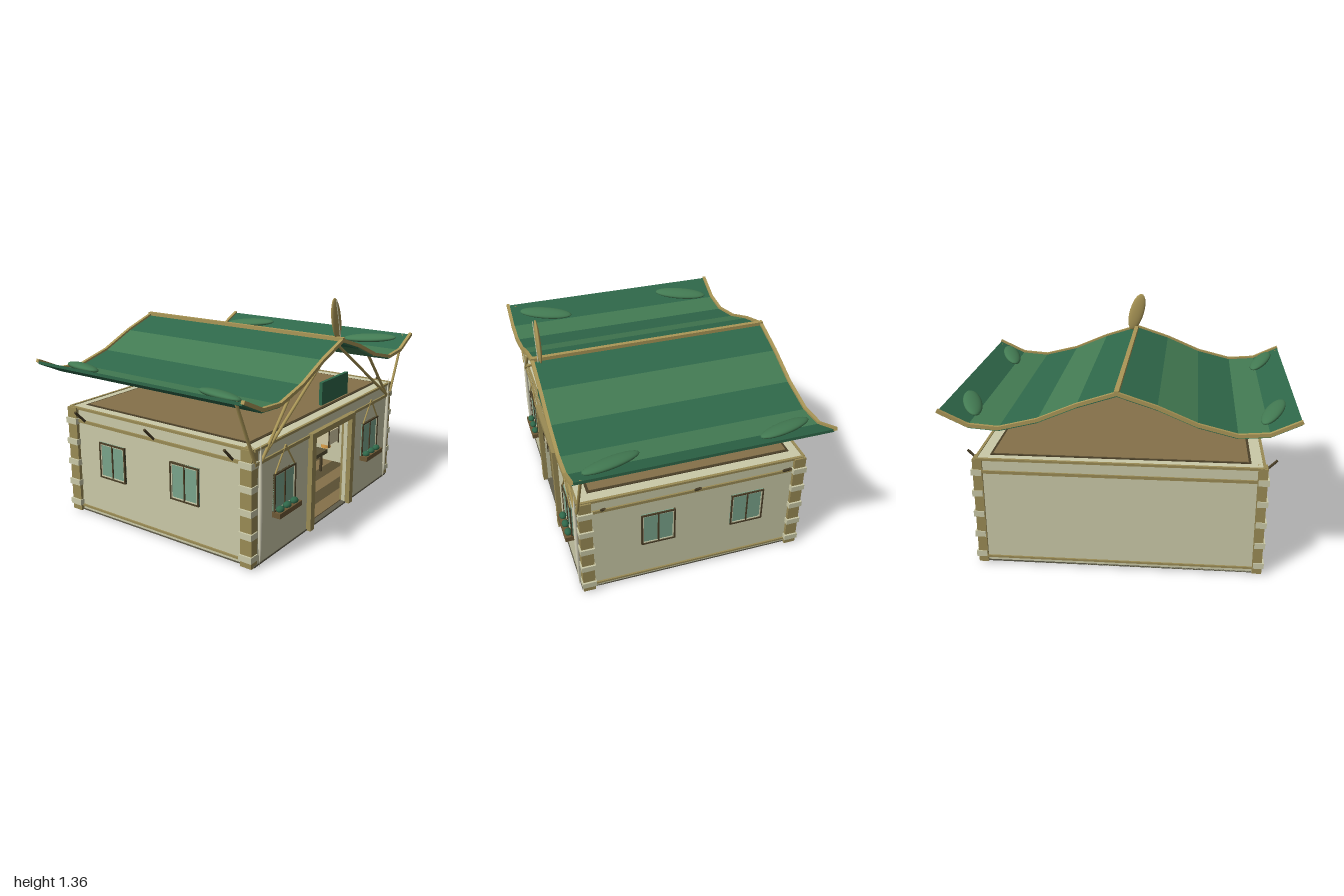
import * as THREE from 'three';

const mats = {};
const mat = (color) => (mats[color] ??= new THREE.MeshStandardMaterial({ color, flatShading: false }));
const CREAM = 0xcbcaa8, WOOD = 0x9a8b55, TAN = 0xab9757, DARK = 0x4b4028, BROWN = 0x85714a,
  GREEN = 0x2f684a, LEAF = 0x437b53, PANE = 0x7aa58c;

function add(parent, name, geometry, color, x = 0, y = 0, z = 0) {
  const m = new THREE.Mesh(geometry, mat(color));
  m.name = name;
  m.position.set(x, y, z);
  parent.add(m);
  return m;
}

// Box given by its min and max on each axis
function box(parent, name, color, x0, x1, y0, y1, z0, z1) {
  return add(parent, name, new THREE.BoxGeometry(x1 - x0, y1 - y0, z1 - z0), color,
    (x0 + x1) / 2, (y0 + y1) / 2, (z0 + z1) / 2);
}

// Round pole between two points
function pole(parent, name, color, a, b, r) {
  const p = new THREE.Vector3(...a), d = new THREE.Vector3(...b).sub(p);
  const m = add(parent, name, new THREE.CylinderGeometry(r, r, d.length(), 8), color);
  m.position.copy(p).addScaledVector(d, 0.5);
  m.quaternion.setFromUnitVectors(new THREE.Vector3(0, 1, 0), d.normalize());
  return m;
}

function ellipsoid(parent, name, color, x, y, z, rx, ry, rz) {
  const m = add(parent, name, new THREE.SphereGeometry(1, 24, 14), color, x, y, z);
  m.scale.set(rx, ry, rz);
  return m;
}

// Two-pane window facing +z, centred on its origin
function windowUnit(w, h) {
  const g = new THREE.Group();
  g.name = 'window';
  box(g, 'pane', PANE, -w / 2, w / 2, -h / 2, h / 2, -0.005, 0.004);
  for (const [hw, hh, t, d, c] of [[w / 2, h / 2, 0.009, 0.012, DARK], [w / 2 - 0.009, h / 2 - 0.009, 0.006, 0.008, CREAM]])
    for (const s of [-1, 1]) {
      const x = s * (hw - t / 2), y = s * (hh - t / 2);
      box(g, 'frameSide', c, x - t / 2, x + t / 2, -hh, hh, -0.005, d);
      box(g, 'frameRail', c, -hw, hw, y - t / 2, y + t / 2, -0.005, d);
    }
  box(g, 'mullion', DARK, -0.004, 0.004, -h / 2, h / 2, -0.005, 0.01);
  return g;
}

function buildHouse(g) {
  // Floor, planks and walls
  box(g, 'base', 0x5f5c4b, -0.82, 0.82, 0.02, 0.03, -0.67, 0.685);
  for (let i = 0; i < 14; i++)
    box(g, 'floorPlank', i % 2 ? BROWN : 0x5a4f33, -0.79, 0.79, 0.03, 0.036, -0.65 + i * 0.0929, -0.65 + (i + 1) * 0.0929);
  box(g, 'backWall', CREAM, -0.82, 0.82, 0.02, 0.69, -0.67, -0.645);
  for (const s of [-1, 1])
    box(g, 'sideWall', CREAM, s * 0.8075 - 0.0125, s * 0.8075 + 0.0125, 0.02, 0.69, -0.66, 0.675);
  const front = new THREE.Shape([[-0.82, 0.02], [-0.22, 0.02], [-0.22, 0.6], [0.22, 0.6], [0.22, 0.02],
    [0.82, 0.02], [0.82, 0.69], [-0.82, 0.69]].map((p) => new THREE.Vector2(...p)));
  add(g, 'frontWall', new THREE.ExtrudeGeometry(front, { depth: 0.025, bevelEnabled: false }), CREAM, 0, 0, 0.655);

  // Ceiling deck with inset panel
  box(g, 'ceiling', CREAM, -0.815, 0.815, 0.675, 0.69, -0.665, 0.675);
  box(g, 'deckBorder', DARK, -0.75, 0.75, 0.69, 0.694, -0.61, 0.61);
  box(g, 'deckPanel', BROWN, -0.735, 0.735, 0.69, 0.697, -0.595, 0.595);

  // Horizontal trim on all sides
  for (const [y, h] of [[0.61, 0.018], [0.688, 0.014], [0.055, 0.012]]) {
    for (const s of [-1, 1])
      box(g, 'sideTrim', WOOD, s * 0.822 - 0.008, s * 0.822 + 0.008, y - h / 2, y + h / 2, -0.67, 0.68);
    box(g, 'backTrim', WOOD, -0.82, 0.82, y - h / 2, y + h / 2, -0.68, -0.664);
    if (y > 0.5) box(g, 'frontTrim', WOOD, -0.82, 0.82, y - h / 2, y + h / 2, 0.675, 0.69);
  }

  // Corner posts with pale lashings, and side pegs
  for (const sx of [-1, 1]) {
    for (const sz of [-1, 1]) {
      const x = sx * 0.812, z = sz * 0.645;
      box(g, 'cornerPost', WOOD, x - 0.028, x + 0.028, 0.02, 0.69, z - 0.036, z + 0.036);
      for (let i = 0; i < 5; i++) {
        const y = 0.075 + i * 0.133;
        box(g, 'postLashing', CREAM, sx * 0.82 - 0.031, sx * 0.82 + 0.031, y - 0.018, y + 0.018, z - 0.042, z + 0.042);
      }
    }
    for (const z of [-0.55, 0, 0.55])
      pole(g, 'sidePeg', DARK, [sx * 0.81, 0.6, z], [sx * 0.9, 0.69, z], 0.008);
    // Side windows
    for (const z of [0.22, -0.33]) {
      const w = windowUnit(0.205, 0.225);
      w.position.set(sx * 0.822, 0.397, z);
      w.rotation.y = sx * Math.PI / 2;
      g.add(w);
    }
    // Front window with hanging sticks and planter
    const cx = sx * 0.525, w = windowUnit(0.22, 0.225);
    w.position.set(cx, 0.388, 0.682);
    g.add(w);
    for (const s of [-1, 1])
      pole(g, 'windowStick', TAN, [cx, 0.638, 0.688], [cx + s * 0.1, 0.5, 0.688], 0.005);
    box(g, 'planter', 0x6d5835, cx - 0.115, cx + 0.115, 0.25, 0.28, 0.68, 0.732);
    for (const d of [-0.073, 0, 0.073])
      ellipsoid(g, 'plant', GREEN, cx + d, 0.288, 0.706, 0.027, 0.02, 0.022);
  }
}

function buildDoorway(g) {
  for (const s of [-1, 1])
    box(g, 'doorPost', WOOD, s * 0.243 - 0.022, s * 0.243 + 0.022, 0.02, 0.625, 0.64, 0.71);
  box(g, 'doorLintel', WOOD, -0.265, 0.265, 0.592, 0.627, 0.64, 0.71);
  // Lantern
  box(g, 'lanternShade', 0xd6cca6, -0.057, 0.057, 0.495, 0.58, 0.6, 0.7);
  for (const x of [-0.06, 0.06])
    for (const z of [0.598, 0.702])
      pole(g, 'lanternRib', DARK, [x, 0.483, z], [x, 0.592, z], 0.004);
  add(g, 'lanternGlow', new THREE.CylinderGeometry(0.025, 0.03, 0.035, 12), 0xd69a45, 0, 0.478, 0.65);
}

function buildInterior(g) {
  // Wall hanging with crossed sticks
  box(g, 'wallPanel', 0x5e5636, -0.13, 0.125, 0.3, 0.565, -0.646, -0.63);
  for (const s of [-1, 1])
    pole(g, 'crossedStick', TAN, [s * 0.05, 0.37, -0.622], [-s * 0.05, 0.49, -0.622], 0.009);
  // Rear counter
  box(g, 'counterTop', 0x5a5236, -0.35, 0.35, 0.17, 0.198, -0.6, -0.4);
  for (const s of [-1, 1])
    box(g, 'counterLeg', DARK, s * 0.32 - 0.015, s * 0.32 + 0.015, 0.035, 0.17, -0.58, -0.42);
  add(g, 'cup', new THREE.CylinderGeometry(0.012, 0.01, 0.025, 10), 0x26323c, -0.15, 0.21, -0.5);
  box(g, 'tool', DARK, 0.04, 0.1, 0.198, 0.204, -0.52, -0.48);
  // Side tables
  for (const [x, z] of [[0.487, 0.15], [-0.487, 0.02]]) {
    box(g, 'tableTop', 0x5a5236, x - 0.11, x + 0.11, 0.17, 0.198, z - 0.19, z + 0.19);
    for (const sx of [-1, 1])
      for (const sz of [-1, 1])
        pole(g, 'tableLeg', DARK, [x + sx * 0.085, 0.018, z + sz * 0.155], [x + sx * 0.085, 0.17, z + sz * 0.155], 0.011);
  }
}

function buildRoof(g) {
  // Sagging roof profile from ridge to eave
  const P = [[0, 1.128], [0.22, 1.056], [0.44, 0.962], [0.66, 0.907], [0.83, 0.92], [0.995, 0.998]];
  for (const s of [-1, 1]) {
    for (let i = 0; i < 5; i++) {
      const [[ax, ay], [bx, by]] = [P[i], P[i + 1]];
      const strip = new THREE.Shape([[ax, ay], [bx, by], [bx, by - 0.018], [ax, ay - 0.018]].map(([x, y]) => new THREE.Vector2(s * x, y)));
      add(g, 'roofStrip', new THREE.ExtrudeGeometry(strip, { depth: 1.46, bevelEnabled: false }), i % 2 ? LEAF : GREEN, 0, 0, -0.73);
      // Edge beams front and back
      for (const z of [-0.735, 0.735]) {
        const len = Math.hypot(bx - ax, by - ay) + 0.006;
        const beam = add(g, 'edgeBeam', new THREE.BoxGeometry(len, 0.02, 0.02), TAN, s * (ax + bx) / 2, (ay + by) / 2 + 0.002, z);
        beam.rotation.z = s * Math.atan2(by - ay, bx - ax);
      }
    }
    // Leaf pads on the eaves
    for (const z of [-0.5, 0.495]) {
      const leaf = ellipsoid(g, 'leafPad', LEAF, s * 0.863, 0.968, z, 0.055, 0.024, 0.18);
      leaf.rotation.set(0, s * 0.34, s * 0.2, 'ZYX');
    }
    // Front struts and slender pale spikes
    pole(g, 'ridgeStrut', TAN, [s * 0.77, 0.615, 0.685], [0, 1.115, 0.685], 0.009);
    pole(g, 'middleStrut', TAN, [s * 0.76, 0.615, 0.688], [s * 0.45, 0.95, 0.688], 0.009);
    pole(g, 'eaveStrut', TAN, [s * 0.82, 0.625, 0.685], [s * 0.985, 0.99, 0.685], 0.009);
    const spike = [[0, 0.01], [0.009, 0.12], [0.013, 0.36], [0.009, 0.6], [0, 0.735]].map((p) => new THREE.Vector2(...p));
    add(g, 'spike', new THREE.LatheGeometry(spike, 12), 0xd9d6bd, s * 0.772, 0, 0.69);
  }
  box(g, 'ridgeBeam', TAN, -0.013, 0.013, 1.122, 1.146, -0.745, 0.745);
  // Ridge leaf with its vein
  const leaf = ellipsoid(g, 'ridgeLeaf', TAN, 0, 1.247, 0.69, 0.05, 0.132, 0.015);
  leaf.rotation.z = 0.28;
  pole(g, 'leafVein', CREAM, [0.034, 1.13, 0.705], [-0.034, 1.365, 0.705], 0.003);
  box(g, 'signBoard', GREEN, -0.157, 0.157, 0.77, 0.905, 0.68, 0.7);
}

export function createModel() {
  const model = new THREE.Group();
  model.name = 'house';
  for (const [name, build] of [['walls', buildHouse], ['doorway', buildDoorway], ['interior', buildInterior], ['roof', buildRoof]]) {
    const g = new THREE.Group();
    g.name = name;
    build(g);
    model.add(g);
  }
  model.position.y = -0.01;
  const root = new THREE.Group();
  root.name = 'model';
  root.add(model);
  return root;
}
